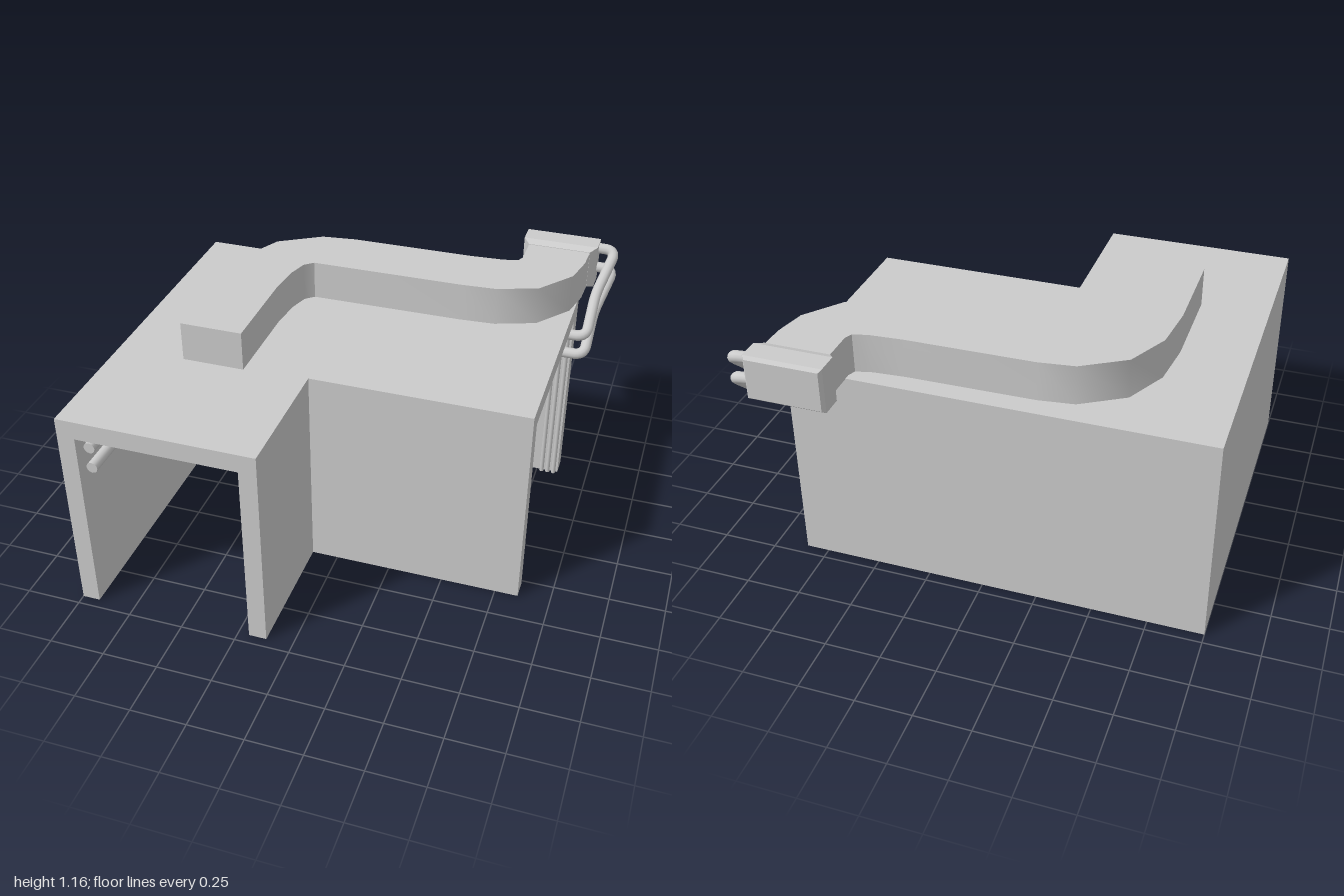
import * as THREE from 'three';
import { toCreasedNormals } from 'three/addons/utils/BufferGeometryUtils.js';
import { ConvexGeometry } from 'three/addons/geometries/ConvexGeometry.js';

export function createModel() {
  const model = new THREE.Group();
  const material = new THREE.MeshStandardMaterial({ color: 0xcccccc });

  function add(name, geometry, parent = model) {
    const mesh = new THREE.Mesh(geometry, material);
    mesh.name = name;
    parent.add(mesh);
    return mesh;
  }

  // Extrudes a floor-plan outline of [x, z] points from y0 up to y1.
  function plan(points, y0, y1) {
    const shape = new THREE.Shape(points.map(([x, z]) => new THREE.Vector2(x, -z)));
    const g = new THREE.ExtrudeGeometry(shape, { depth: y1 - y0, bevelEnabled: false });
    return g.rotateX(-Math.PI / 2).translate(0, y0, 0);
  }

  // Straight runs joined by rounded corners.
  function roundedPath(points, radius) {
    const p = points.map((a) => new THREE.Vector3(...a));
    const path = new THREE.CurvePath();
    let start = p[0];
    for (let i = 1; i < p.length - 1; i++) {
      const back = p[i - 1].clone().sub(p[i]);
      const ahead = p[i + 1].clone().sub(p[i]);
      const r = Math.min(radius, back.length() * 0.45, ahead.length() * 0.45);
      const a = p[i].clone().add(back.setLength(r));
      const b = p[i].clone().add(ahead.setLength(r));
      path.add(new THREE.LineCurve3(start, a));
      path.add(new THREE.QuadraticBezierCurve3(a, p[i], b));
      start = b;
    }
    path.add(new THREE.LineCurve3(start, p[p.length - 1]));
    return path;
  }

  // Corridor corner: L-shaped roof on an outer and an inner wall
  const corridor = new THREE.Group();
  corridor.name = 'corridor';
  model.add(corridor);
  add('roof', plan([[-1, -0.7], [0.855, -0.7], [0.855, 0.355], [-0.12, 0.355],
    [-0.12, 0.955], [-1, 0.955]], 0.885, 0.97), corridor);
  add('outerWall', plan([[-1, -0.7], [0.855, -0.7], [0.855, -0.61], [-0.92, -0.61],
    [-0.92, 0.955], [-1, 0.955]], 0, 0.885), corridor);
  add('innerWall', plan([[-0.2, 0.27], [0.855, 0.27], [0.855, 0.355], [-0.12, 0.355],
    [-0.12, 0.955], [-0.2, 0.955]], 0, 0.885), corridor);

  // Air duct winding over the roof
  const duct = plan([[-0.69, 0.375], [-0.69, -0.06], [-0.665, -0.28], [-0.57, -0.47],
    [-0.38, -0.585], [-0.22, -0.605], [0.35, -0.61], [0.5, -0.62], [0.565, -0.637],
    [0.58, -0.67], [0.58, -0.83], [0.87, -0.83], [0.865, -0.7], [0.835, -0.56],
    [0.71, -0.4], [0.53, -0.335], [0.37, -0.325], [-0.33, -0.32], [-0.37, -0.285],
    [-0.395, -0.2], [-0.41, -0.06], [-0.41, 0.375]], 0.968, 1.15);
  add('airDuct', toCreasedNormals(duct, 0.7));

  // Flared, chamfered collar on the duct's back end: [z, half width, half height]
  const corners = [];
  for (const [z, w, h] of [[-0.81, 0.145, 0.09], [-0.845, 0.175, 0.103],
    [-0.94, 0.175, 0.103], [-0.955, 0.162, 0.09]]) {
    for (const sx of [-1, 1]) {
      for (const sy of [-1, 1]) {
        corners.push(new THREE.Vector3(0.725 + sx * w, 1.062 + sy * h, z));
      }
    }
  }
  add('ductCollar', new ConvexGeometry(corners));

  // Pair of pipes: along the left and back walls, then up to the collar
  const pipes = new THREE.Group();
  pipes.name = 'pipes';
  model.add(pipes);
  for (const y of [0.85, 0.75]) {
    const path = roundedPath([[-0.86, y, 0.95], [-0.86, y, -0.55], [0.925, y, -0.55],
      [0.925, y + 0.12, -0.75], [0.98, y + 0.28, -0.91], [0.86, y + 0.285, -0.905]], 0.05);
    add('pipe', new THREE.TubeGeometry(path, 300, 0.025, 12), pipes);
    add('pipeEnd', new THREE.CircleGeometry(0.025, 12), pipes).position.set(-0.86, y, 0.95);
  }

  // Thin cables arching around the inside of the right opening
  for (const x of [0.775, 0.805, 0.835]) {
    const path = roundedPath([[x, 0, 0.262], [x, 0.877, 0.262],
      [x, 0.877, -0.602], [x, 0, -0.602]], 0.08);
    add('archCable', new THREE.TubeGeometry(path, 120, 0.011, 8));
  }

  // Stepped round ceiling lamps
  for (const z of [-0.205, 0.245]) {
    const lamp = new THREE.Group();
    lamp.name = 'ceilingLamp';
    lamp.position.set(-0.555, 0, z);
    model.add(lamp);
    add('lampBase', new THREE.CylinderGeometry(0.145, 0.145, 0.02, 32), lamp).position.y = 0.876;
    add('lampLens', new THREE.CylinderGeometry(0.09, 0.09, 0.02, 32), lamp).position.y = 0.858;
  }

  return model;
}
